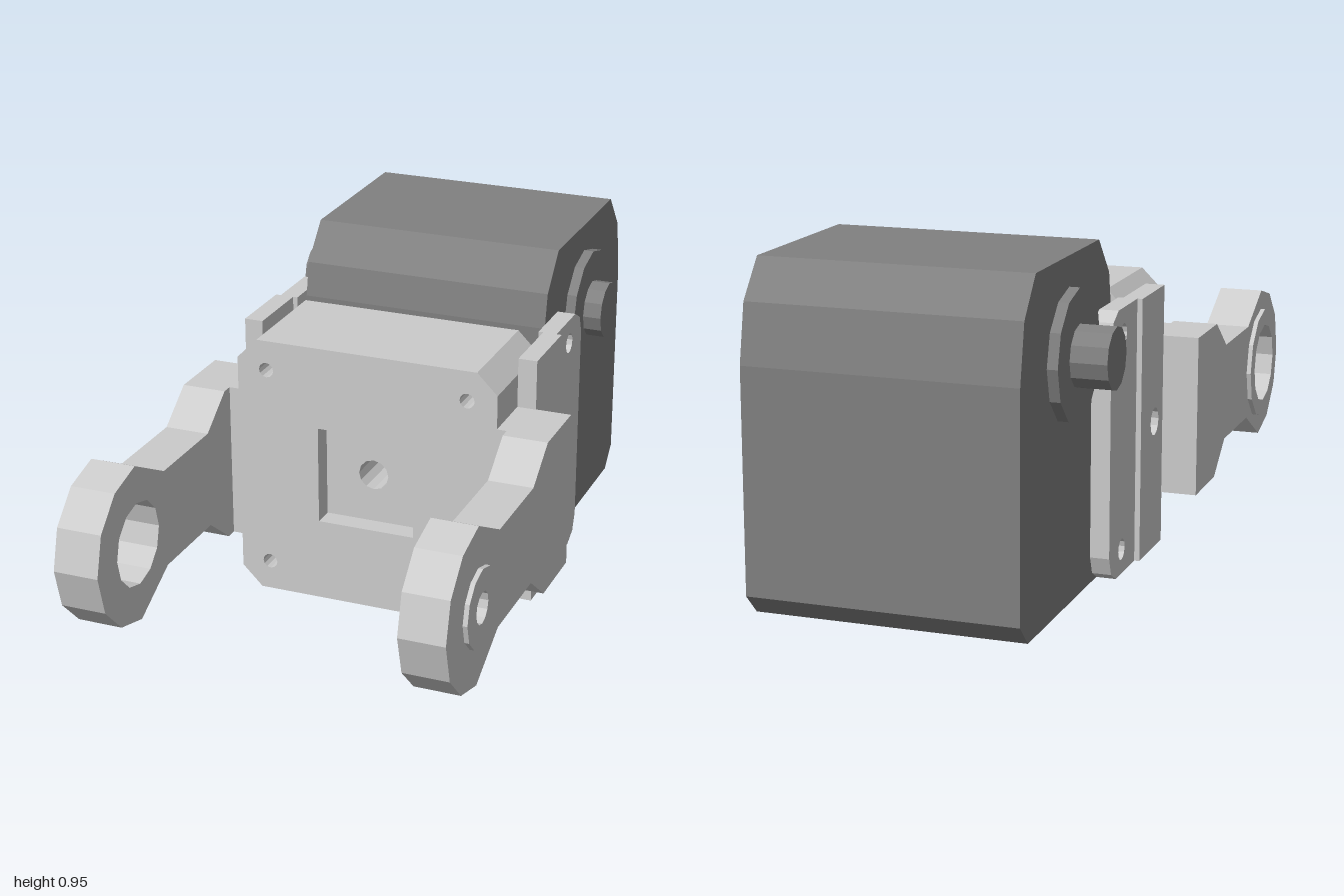
import * as THREE from 'three';

const light = new THREE.MeshStandardMaterial({ color: 0xcccccc, flatShading: true });
const dark = new THREE.MeshStandardMaterial({ color: 0x808080, flatShading: true });

// Points of a regular polygon
function ring(cx, cy, r, sides = 12) {
  return Array.from({ length: sides }, (_, i) => {
    const a = (i / sides) * Math.PI * 2;
    return new THREE.Vector2(cx + r * Math.cos(a), cy + r * Math.sin(a));
  });
}

function outline(points, holes = []) {
  const shape = new THREE.Shape(points.map((p) => (Array.isArray(p) ? new THREE.Vector2(...p) : p)));
  shape.holes = holes.map((h) => new THREE.Path(h));
  return shape;
}

function extrude(shape, depth) {
  return new THREE.ExtrudeGeometry(shape, { depth, bevelEnabled: false });
}

// Extrudes a (z, y) outline between x0 and x1
function sideSlab(name, shape, x0, x1, material) {
  const geo = extrude(shape, x1 - x0).rotateY(-Math.PI / 2).translate(x1, 0, 0);
  const mesh = new THREE.Mesh(geo, material);
  mesh.name = name;
  return mesh;
}

// Extrudes an (x, y) outline between z0 and z1
function frontSlab(name, shape, z0, z1, material) {
  const mesh = new THREE.Mesh(extrude(shape, z1 - z0).translate(0, 0, z0), material);
  mesh.name = name;
  return mesh;
}

function rect(x0, y0, x1, y1) {
  return [[x0, y0], [x1, y0], [x1, y1], [x0, y1]].map((p) => new THREE.Vector2(...p));
}

function createBlock() {
  const group = new THREE.Group();
  group.name = 'centreBlock';
  const edge = [[-0.33, 0], [0.33, 0], [0.39, 0.06], [0.39, 0.718],
    [0.33, 0.778], [-0.33, 0.778], [-0.39, 0.718], [-0.39, 0.06]];
  const bolts = [];
  for (const x of [-0.302, 0.302]) for (const y of [0.088, 0.69]) bolts.push(ring(x, y, 0.022));
  // The front layer has a square pocket, the back layer a round bore
  group.add(
    frontSlab('blockFront', outline(edge, [...bolts, rect(-0.145, 0.245, 0.145, 0.535)]), 0.13, 0.192, light),
    frontSlab('blockBack', outline(edge, [...bolts, ring(0, 0.39, 0.045)]), -0.152, 0.13, light),
  );
  return group;
}

function createArm(side, bossRadius, holeRadius) {
  const group = new THREE.Group();
  group.name = side > 0 ? 'leftArm' : 'rightArm';
  const cz = 0.772, cy = 0.39;
  const hole = ring(cz, cy, holeRadius);
  // Fork eye follows the polygon from its lower to its upper side
  const eye = ring(cz, cy, 0.228);
  const tip = [9, 10, 11, 0, 1, 2, 3].map((i) => eye[i]);
  const profile = [[0.02, 0.162], [0.225, 0.162], [0.34, 0.25], [0.61, 0.25],
    ...tip, [0.61, 0.535], [0.34, 0.535], [0.225, 0.62], [0.02, 0.62]];
  const span = (a, b) => (side > 0 ? [a, b] : [-b, -a]);
  group.add(
    sideSlab('armPlate', outline(profile, [hole]), ...span(0.418, 0.547), light),
    sideSlab('armBoss', outline(ring(cz, cy, bossRadius), [hole]), ...span(0.547, 0.56), light),
    sideSlab('armRoot', outline(rect(0.02, 0.162, 0.192, 0.62)), ...span(0.385, 0.418), light),
  );
  return group;
}

function createBracket(side) {
  const group = new THREE.Group();
  group.name = side > 0 ? 'leftBracket' : 'rightBracket';
  const span = (a, b) => (side > 0 ? [a, b] : [-b, -a]);
  const thick = outline(rect(-0.195, 0.02, 0.022, 0.765), [ring(-0.06, 0.39, 0.04)]);
  const thin = outline([[-0.195, 0.02], [-0.195, 0.765], [-0.37, 0.765], [-0.415, 0.74],
    [-0.434, 0.69], [-0.434, 0.095], [-0.415, 0.045], [-0.37, 0.02]],
  [ring(-0.32, 0.692, 0.03), ring(-0.32, 0.09, 0.03)]);
  group.add(
    sideSlab('bracketPad', thick, ...span(0.39, 0.445), light),
    sideSlab('bracketFlange', thin, ...span(0.376, 0.43), light),
  );
  return group;
}

function createMotor() {
  const group = new THREE.Group();
  group.name = 'motor';
  const profile = [[-0.258, 0.075], [-0.32, 0.02], [-0.94, 0.02], [-1, 0.08], [-1, 0.69],
    [-0.97, 0.85], [-0.885, 0.953], [-0.37, 0.953], [-0.277, 0.85], [-0.258, 0.75]];
  group.add(
    sideSlab('motorHousing', outline(profile), -0.374, 0.374, dark),
    sideSlab('motorBearing', outline(ring(-0.622, 0.694, 0.178)), -0.403, 0.403, dark),
    sideSlab('motorShaft', outline(ring(-0.622, 0.694, 0.084)), -0.503, 0.457, dark),
  );
  return group;
}

export function createModel() {
  const model = new THREE.Group();
  model.name = 'clevisJoint';
  model.add(createBlock(), createMotor());
  // The two arms differ in the size of their eye
  model.add(createArm(1, 0.11, 0.045), createArm(-1, 0.17, 0.12));
  for (const side of [-1, 1]) model.add(createBracket(side));
  return model;
}
